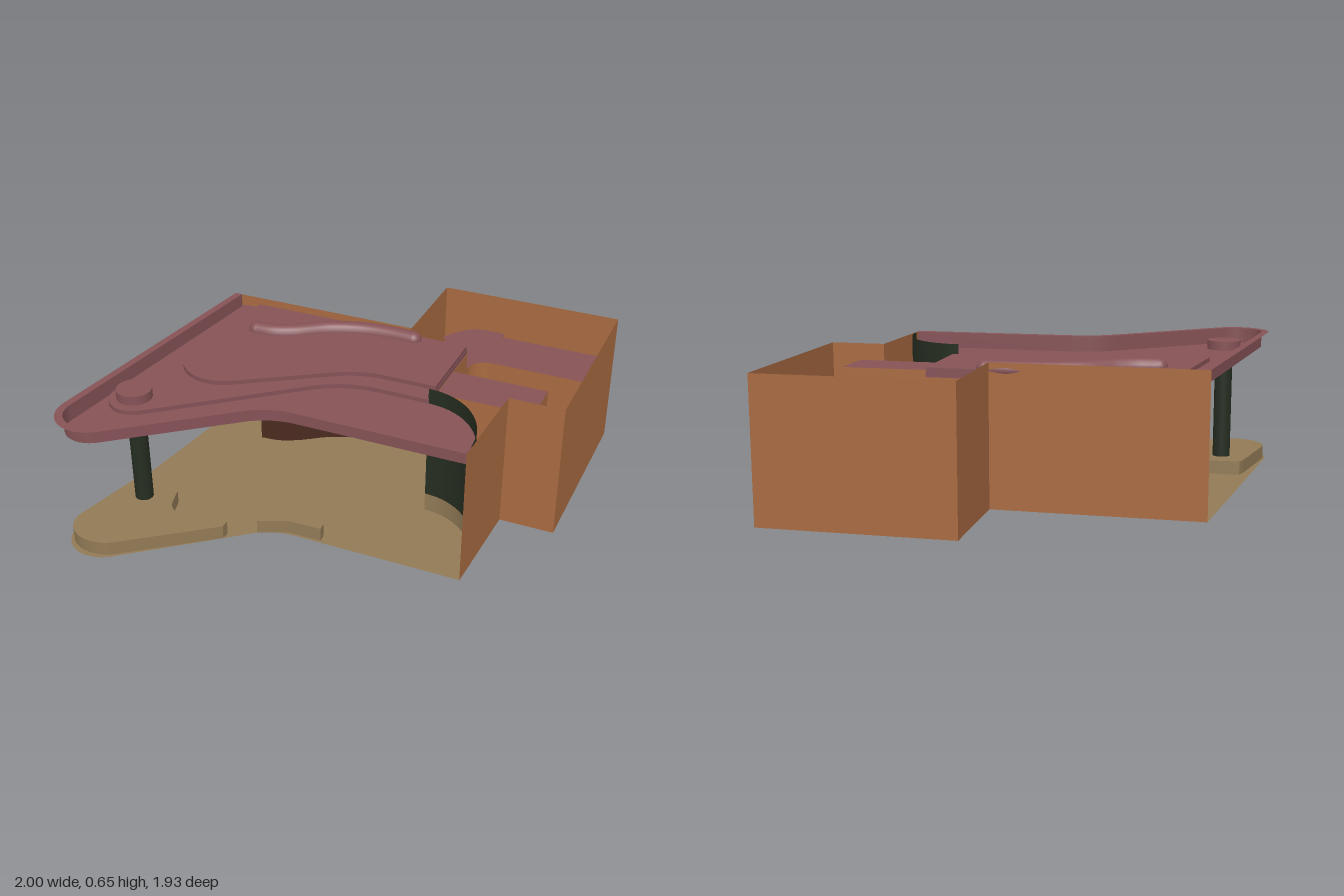
import * as THREE from 'three';

const COLORS = { orange: 0xa86a40, maroon: 0x855256, tan: 0x927a56, green: 0x252d20, brown: 0x4a2a1f };
const mats = {};
for (const k in COLORS) {
  mats[k] = new THREE.MeshStandardMaterial({ color: COLORS[k], side: THREE.DoubleSide });
}

// Plan path [x, z, radius] with tangent arcs at the corners
function roundedPath(pts) {
  const out = [];
  pts.forEach(([x, z, r = 0], i) => {
    const p = new THREE.Vector2(x, z);
    if (!r) { out.push(p); return; }
    const a = new THREE.Vector2(pts[i - 1][0] - x, pts[i - 1][1] - z).normalize();
    const b = new THREE.Vector2(pts[i + 1][0] - x, pts[i + 1][1] - z).normalize();
    const half = Math.acos(a.dot(b)) / 2;
    const c = a.clone().add(b).normalize().multiplyScalar(r / Math.sin(half)).add(p);
    const t = r / Math.tan(half);
    const s = a.multiplyScalar(t).add(p).sub(c).angle();
    const e = b.multiplyScalar(t).add(p).sub(c).angle();
    const d = Math.atan2(Math.sin(e - s), Math.cos(e - s));
    for (let k = 0; k <= 16; k++) {
      const g = s + d * k / 16;
      out.push(new THREE.Vector2(c.x + r * Math.cos(g), c.y + r * Math.sin(g)));
    }
  });
  return out;
}

const toShape = pts => new THREE.Shape(pts.map(p => new THREE.Vector2(p.x, -p.y)));

export function createModel() {
  const model = new THREE.Group();

  function add(name, geometry, color) {
    const mesh = new THREE.Mesh(geometry, mats[color]);
    mesh.name = name;
    model.add(mesh);
    return mesh;
  }
  // Flat horizontal sheet
  function sheet(name, pts, y, color) {
    add(name, new THREE.ShapeGeometry(toShape(pts)).rotateX(-Math.PI / 2), color).position.y = y;
  }
  // Solid slab standing on y0
  function slab(name, pts, y0, y1, color) {
    const g = new THREE.ExtrudeGeometry(toShape(pts), { depth: y1 - y0, bevelEnabled: false });
    add(name, g.rotateX(-Math.PI / 2), color).position.y = y0;
  }
  // Thin upright wall following a plan path
  function wall(name, pts, y0, y1, color) {
    const n = pts.length;
    let g = new THREE.PlaneGeometry(1, 1, n - 1, 1);
    for (let i = 0; i < n; i++) {
      g.attributes.position.setXYZ(i, pts[i].x, y1, pts[i].y);
      g.attributes.position.setXYZ(n + i, pts[i].x, y0, pts[i].y);
    }
    g = g.toNonIndexed();
    g.computeVertexNormals();
    add(name, g, color);
  }
  // Wall with a skirting band at its foot
  function skirtedWall(name, pts, top, color) {
    wall(name + 'Skirting', pts, 0, 0.09, 'tan');
    wall(name, pts, 0.09, top, color);
  }
  function box(name, x0, x1, y0, y1, z0, z1, color) {
    add(name, new THREE.BoxGeometry(x1 - x0, y1 - y0, z1 - z0), color)
      .position.set((x0 + x1) / 2, (y0 + y1) / 2, (z0 + z1) / 2);
  }

  // Plan outlines
  const outer = roundedPath([[-0.83, -0.47], [-1.053, 1.19, 0.16], [-0.173, 0.465, 0.3], [0.725, 0.465]]);
  const inner = roundedPath([[-0.795, -0.47], [-1.006, 1.103, 0.125], [-0.185, 0.43, 0.335], [0.725, 0.43]]);
  const arc = [];
  for (let i = 0; i <= 24; i++) {
    const t = i / 24 * Math.PI / 2;
    arc.push(new THREE.Vector2(0.4 + 0.325 * Math.cos(t), 0.4 - 0.365 * Math.sin(t)));
  }
  const backRight = new THREE.Vector2(0.405, -0.47);
  const corridor = roundedPath([[0.405, -0.28], [0.855, -0.28], [0.855, -0.06], [0.405, -0.06]]);
  const rearLeft = roundedPath([[0.185, -0.47], [0.185, -0.65, 0.15], [0.215, -0.71, 0.015], [0.185, -0.735, 0.012],
    [0.285, -0.89, 0.17], [0.46, -0.89, 0.015], [0.46, -0.85], [0.956, -0.85]]);
  const rearRight = roundedPath([[0.956, -0.575], [0.405, -0.575, 0.09], [0.405, -0.47]]);
  const rear = [...rearLeft, ...rearRight];

  // Floors
  sheet('mainFloor', [...outer, ...arc, backRight], 0, 'tan');
  sheet('corridorFloor', corridor, 0, 'tan');
  sheet('rearRoomFloor', rear, 0, 'tan');

  // Raised floor platforms
  const platform = outer.filter(p => p.y > 0.62 && p.x < -0.35)
    .map(p => new THREE.Vector2(-0.84 + (p.x + 0.84) * 0.97 + 0.005, 0.8 + (p.y - 0.8) * 0.85));
  slab('columnPlatform', [new THREE.Vector2(-0.915, 0.45), ...platform,
    ...roundedPath([[-0.35, 0.61], [-0.35, 0.57], [-0.63, 0.62, 0.1], [-0.69, 0.4, 0.08], [-0.9, 0.41]])], 0, 0.065, 'tan');
  slab('frontStep', roundedPath([[-0.23, 0.51], [-0.21, 0.4, 0.06], [0.05, 0.36, 0.06], [0.06, 0.45], [-0.1, 0.455]]), 0, 0.065, 'tan');

  // Column
  const column = add('column', new THREE.CylinderGeometry(0.042, 0.042, 0.515, 32), 'green');
  column.position.set(-0.8, 0.32, 0.54);
  const cap = add('columnCap', new THREE.CylinderGeometry(0.08, 0.08, 0.06, 32), 'maroon');
  cap.position.set(-0.8, 0.61, 0.54);

  // Ceiling tray with stepped levels
  sheet('ceiling', [...inner, ...arc, backRight], 0.575, 'maroon');
  wall('ceilingRim', inner, 0.575, 0.65, 'maroon');
  sheet('ceilingFlange', [...outer, ...inner.slice().reverse()], 0.65, 'maroon');
  slab('ceilingLowerStep', roundedPath([[-0.78, -0.468], [-0.951, 0.834, 0.12], [-0.006, 0.04, 0.45], [0.403, 0.04],
    [0.403, -0.468]]), 0.577, 0.597, 'maroon');
  slab('ceilingUpperStep', roundedPath([[-0.69, -0.466], [-0.829, 0.519, 0.2], [0.037, -0.05, 0.4], [0.401, -0.05],
    [0.401, -0.466]]), 0.597, 0.617, 'maroon');
  sheet('corridorCeiling', corridor, 0.575, 'maroon');
  sheet('rearRoomCeiling', rear, 0.49, 'maroon');

  // Curved brown screen and the rounded ridge above it
  const curve = new THREE.CatmullRomCurve3([[-0.58, -0.22], [-0.49, -0.23], [-0.4, -0.27], [-0.26, -0.365],
    [-0.1, -0.42], [0.02, -0.432], [0.145, -0.43]].map(([x, z]) => new THREE.Vector3(x, 0.615, z)));
  wall('curvedScreen', curve.getPoints(48).map(p => new THREE.Vector2(p.x, p.z)), 0, 0.575, 'brown');
  add('ceilingRidge', new THREE.TubeGeometry(curve, 64, 0.04, 16), 'maroon');
  for (const t of [0, 1]) {
    add('ridgeEnd', new THREE.SphereGeometry(0.04, 20, 14), 'maroon').position.copy(curve.getPoint(t));
  }

  // Outer shell walls, open at the top
  wall('outerWalls', roundedPath([[0.727, 0.468], [0.745, -0.03], [1, -0.03], [1, -0.96], [0.12, -0.96],
    [0.12, -0.47], [-0.83, -0.47]]), 0, 0.65, 'orange');

  // Inner walls
  skirtedWall('curvedWall', arc, 0.65, 'green');
  skirtedWall('backWall', roundedPath([[-0.82, -0.466], [0.185, -0.466]]), 0.575, 'orange');
  wall('doorHead', roundedPath([[0.185, -0.468], [0.405, -0.468]]), 0.49, 0.575, 'orange');
  skirtedWall('sideWallRear', roundedPath([[0.405, -0.47], [0.405, -0.28]]), 0.575, 'orange');
  skirtedWall('sideWallFront', roundedPath([[0.405, -0.06], [0.405, 0.035]]), 0.575, 'orange');
  skirtedWall('corridorWalls', corridor, 0.575, 'orange');
  skirtedWall('rearRoomWalls', rear, 0.49, 'orange');

  // Wall niches
  box('corridorNiche', 0.5, 0.68, 0, 0.09, -0.06, 0, 'tan');
  box('rearNiche', 0.72, 0.88, 0.09, 0.4, -0.905, -0.85, 'orange');
  box('rearNicheTop', 0.72, 0.88, 0.4, 0.41, -0.905, -0.865, 'maroon');

  return model;
}
